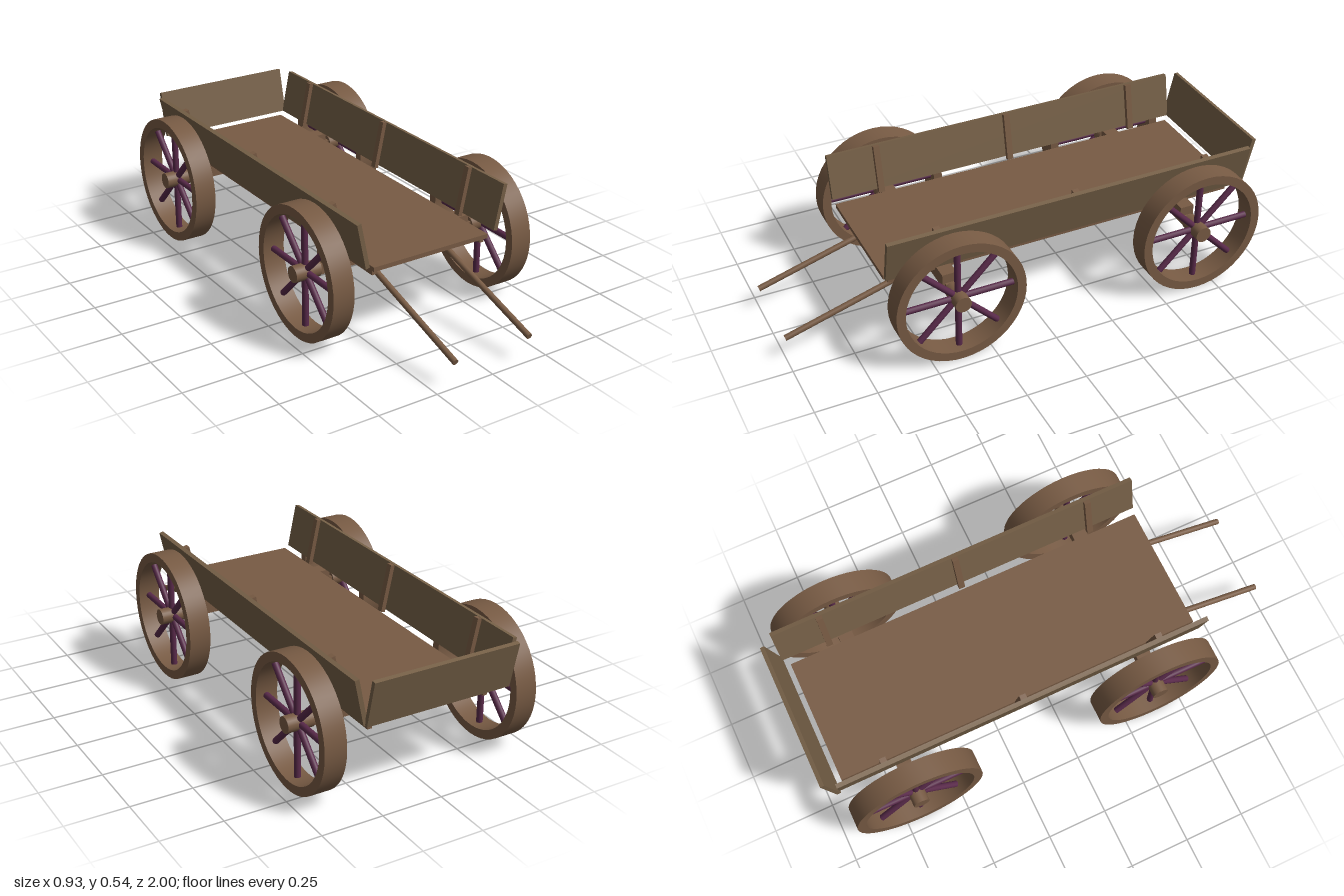
import * as THREE from 'three';
import { toCreasedNormals } from 'three/addons/utils/BufferGeometryUtils.js';

export function createModel() {
  const model = new THREE.Group();
  model.name = 'wagon';
  const wood = new THREE.MeshStandardMaterial({ name: 'wood', color: 0x785b44 });
  const board = new THREE.MeshStandardMaterial({ name: 'boardWood', color: 0x766047 });
  const purple = new THREE.MeshStandardMaterial({ name: 'purplePaint', color: 0x592a4a });

  function add(parent, name, geometry, material, x = 0, y = 0, z = 0) {
    const mesh = new THREE.Mesh(geometry, material);
    mesh.name = name;
    mesh.position.set(x, y, z);
    parent.add(mesh);
    return mesh;
  }
  // Box given by its limits on each axis
  function box(parent, name, material, [x0, x1], [y0, y1], [z0, z1]) {
    return add(parent, name, new THREE.BoxGeometry(x1 - x0, y1 - y0, z1 - z0), material,
      (x0 + x1) / 2, (y0 + y1) / 2, (z0 + z1) / 2);
  }

  // Bed floor and the two rails below it
  box(model, 'floor', wood, [-0.265, 0.26], [0.327, 0.345], [-0.92, 0.62]);
  for (const s of [-1, 1]) {
    add(model, 'floorRail', new THREE.BoxGeometry(0.02, 0.026, 1.5), wood, s * 0.249, 0.317, -0.15);
  }

  // Wheel parts, built around the x axis
  const half = 0.045, outer = 0.267, inner = 0.23;
  const profile = [[inner, -half], [outer, -half], [outer, half], [inner, half], [inner, -half]]
    .map(([r, h]) => new THREE.Vector2(r, h));
  const rimGeo = toCreasedNormals(new THREE.LatheGeometry(profile, 48), 0.6).rotateZ(Math.PI / 2);
  const hubGeo = new THREE.CylinderGeometry(0.033, 0.033, 0.11, 24).rotateZ(Math.PI / 2);
  const spokeGeo = new THREE.CylinderGeometry(0.013, 0.013, 0.216, 12).translate(0, 0.13, 0);

  // Axles, bolsters and wheels
  const wheelY = 0.269;
  for (const z of [0.378, -0.673]) {
    box(model, 'axle', wood, [-0.365, 0.365], [0.246, 0.285], [z - 0.02, z + 0.02]);
    box(model, 'bolster', wood, [-0.338, 0.332], [0.272, 0.325], [z - 0.03, z + 0.03]);
    for (const s of [-1, 1]) {
      const wheel = new THREE.Group();
      wheel.name = 'wheel';
      wheel.position.set(s * 0.41, wheelY, z);
      add(wheel, 'rim', rimGeo, wood);
      add(wheel, 'hub', hubGeo, wood);
      for (let i = 0; i < 8; i++) {
        add(wheel, 'spoke', spokeGeo, purple).rotation.x = i * Math.PI / 4;
      }
      model.add(wheel);
    }
  }

  // Outward-leaning sides, each with three posts on the inner face
  for (const s of [-1, 1]) {
    const side = new THREE.Group();
    side.name = s > 0 ? 'leftSide' : 'rightSide';
    side.position.set(s * 0.283, 0.342, 0);
    side.rotation.z = -s * 0.208;
    add(side, 'sideBoard', new THREE.BoxGeometry(0.018, 0.189, 1.57), board, s * 0.009, 0.1065, -0.16);
    for (const z of [-0.746, -0.164, 0.418]) {
      add(side, 'sidePost', new THREE.BoxGeometry(0.018, 0.2, 0.026), wood, -s * 0.009, 0.1, z);
    }
    model.add(side);
  }

  // Backward-leaning tailboard
  const tail = add(model, 'tailboard', new THREE.BoxGeometry(0.61, 0.195, 0.017), board, -0.008, 0.447, -0.97);
  tail.rotation.x = -0.225;

  // Pair of draw shafts reaching forward and down
  const rear = new THREE.Vector3(0, 0.293, 0.36), tip = new THREE.Vector3(0, 0.104, 0.996);
  const run = tip.clone().sub(rear);
  for (const x of [-0.17, 0.168]) {
    const shaft = add(model, 'shaft', new THREE.CylinderGeometry(0.012, 0.012, run.length(), 16), wood,
      x, (rear.y + tip.y) / 2, (rear.z + tip.z) / 2);
    shaft.quaternion.setFromUnitVectors(new THREE.Vector3(0, 1, 0), run.clone().normalize());
  }
  return model;
}
